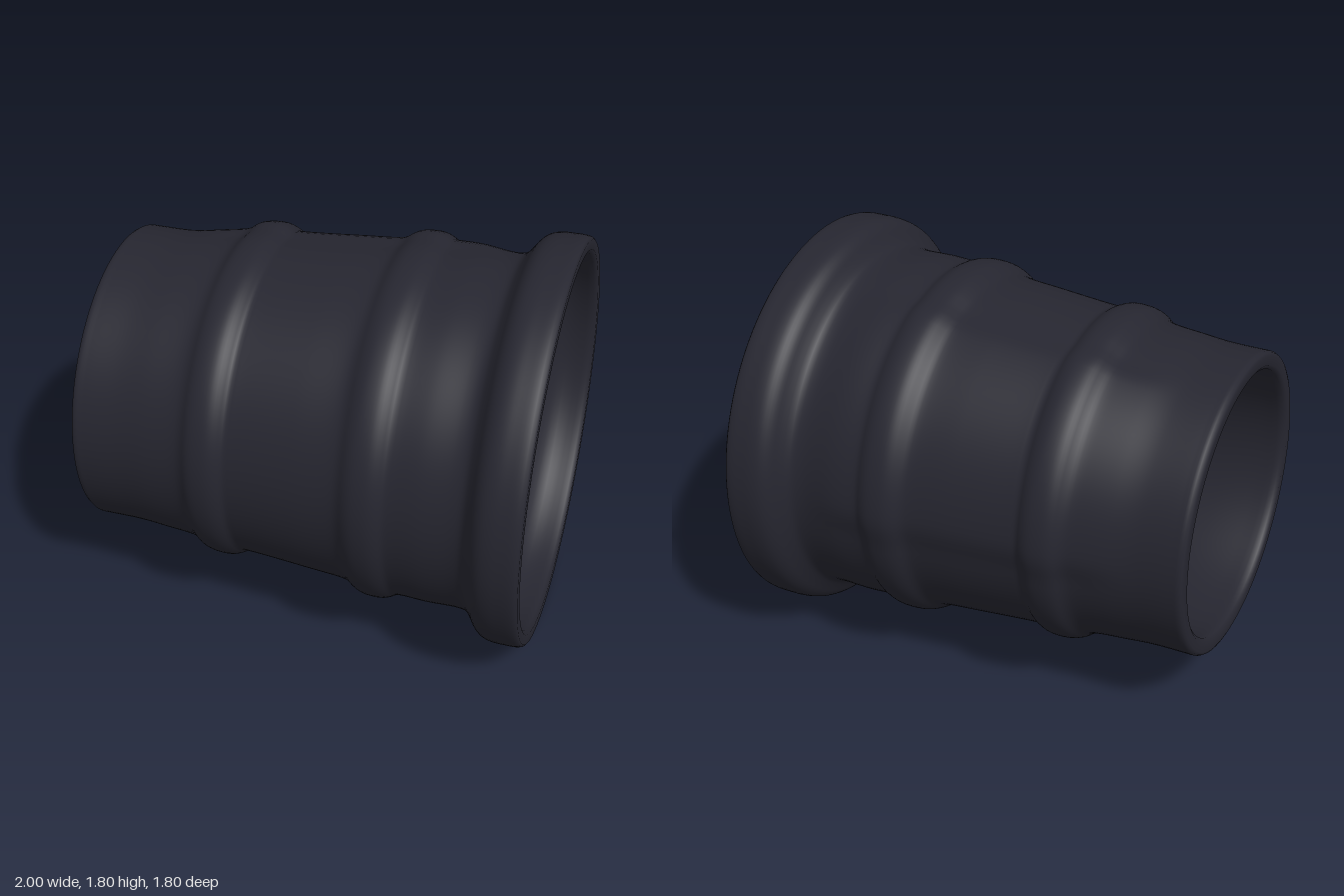
import * as THREE from 'three';
import { mergeVertices } from 'three/addons/utils/BufferGeometryUtils.js';

const AXIS_HEIGHT = 0.9;

// Smooth run of [radius, position along the axis] points
function smoothRun(points, count) {
  const curve = new THREE.CatmullRomCurve3(points.map(([r, x]) => new THREE.Vector3(r, x, 0)));
  return curve.getSpacedPoints(count).map((p) => new THREE.Vector2(p.x, p.y));
}

// Shallow raised panel on the upper back, fading out at its borders
function panelHeight(x, y, z) {
  const r = Math.hypot(y, z);
  if (r < 0.7 + 0.07 * x) return 0; // inner wall stays round
  const angle = THREE.MathUtils.radToDeg(Math.atan2(y, -z));
  const s = THREE.MathUtils.smoothstep;
  return 0.02 * s(angle, -10, 2) * (1 - s(angle, 66, 76)) * s(x, -0.8, -0.5) * (1 - s(x, 0.45, 0.7));
}

export function createModel() {
  const group = new THREE.Group();
  group.name = 'ribbedSleeve';
  const rubber = new THREE.MeshStandardMaterial({ color: 0x262630 });
  rubber.name = 'dark rubber';

  // Outer wall with two ribs and a flared collar
  const outer = smoothRun([
    [0.645, -1], [0.655, -0.997], [0.664, -0.985], [0.665, -0.95], [0.667, -0.8], [0.677, -0.68],
    [0.694, -0.52], [0.706, -0.49], [0.731, -0.455], [0.742, -0.42], [0.744, -0.36],
    [0.732, -0.325], [0.716, -0.3], [0.716, -0.27], [0.738, 0], [0.757, 0.19],
    [0.767, 0.215], [0.788, 0.245], [0.802, 0.28], [0.805, 0.35], [0.794, 0.385],
    [0.78, 0.41], [0.778, 0.44], [0.783, 0.55], [0.783, 0.7], [0.793, 0.74],
    [0.825, 0.77], [0.866, 0.8], [0.888, 0.83], [0.898, 0.87], [0.9, 0.92],
    [0.899, 0.97], [0.893, 0.992], [0.883, 1],
  ], 150);

  // Inner wall, running back from the wide mouth to the narrow end
  const inner = smoothRun([
    [0.84, 1], [0.83, 0.996], [0.824, 0.98], [0.82, 0.92], [0.808, 0.87], [0.78, 0.83],
    [0.74, 0.79], [0.715, 0.75], [0.705, 0.7], [0.7, 0.45], [0.662, 0],
    [0.615, -0.5], [0.59, -0.75], [0.585, -0.9], [0.586, -0.985], [0.593, -0.997], [0.605, -1],
  ], 80);

  const profile = [...outer, ...inner, outer[0].clone()];
  const lathe = new THREE.LatheGeometry(profile, 128);
  lathe.rotateZ(-Math.PI / 2);
  lathe.deleteAttribute('uv');
  lathe.deleteAttribute('normal');
  const geometry = mergeVertices(lathe, 1e-5);

  const pos = geometry.attributes.position;
  for (let i = 0; i < pos.count; i++) {
    const x = pos.getX(i), y = pos.getY(i), z = pos.getZ(i);
    const k = 1 + panelHeight(x, y, z) / Math.hypot(y, z);
    pos.setXYZ(i, x, y * k, z * k);
  }
  geometry.computeVertexNormals();

  const sleeve = new THREE.Mesh(geometry, rubber);
  sleeve.name = 'sleeve';
  sleeve.position.y = AXIS_HEIGHT;
  group.add(sleeve);
  return group;
}
